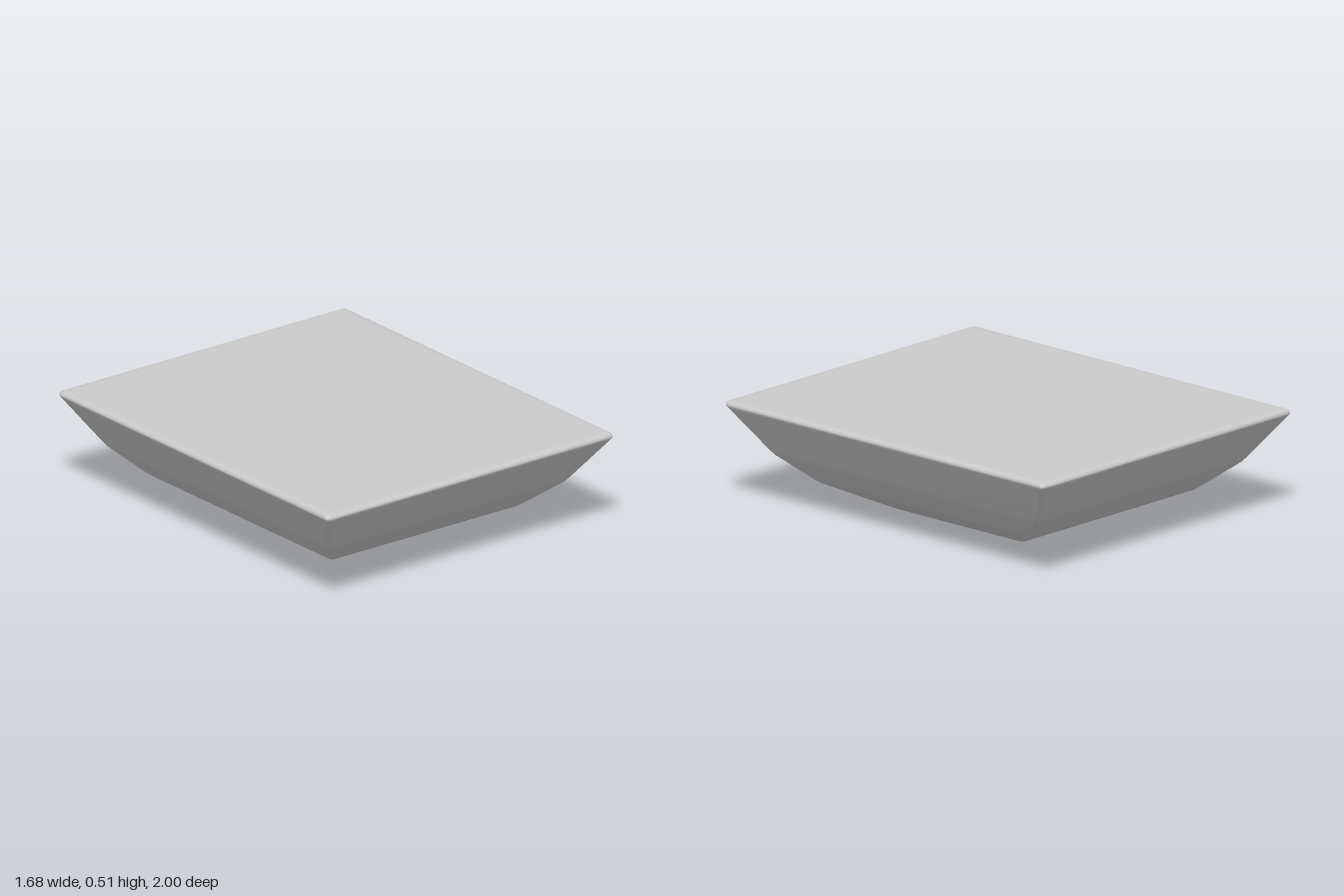
import * as THREE from 'three';

// Cross-sections from bottom to top: [half width, half depth, height, corner radius]
const SECTIONS = [
  [0.28, 0.34, 0, 0.01],
  [0.31, 0.375, 0, 0.018],
  [0.325, 0.395, 0.004, 0.02],
  [0.345, 0.415, 0.013, 0.02],
  [0.555, 0.67, 0.125, 0.022],
  [0.578, 0.69, 0.142, 0.022],
  [0.695, 0.83, 0.258, 0.022],
  [0.71, 0.848, 0.28, 0.022],
  [0.83, 0.99, 0.475, 0.022],
  [0.838, 0.998, 0.487, 0.022],
  [0.84, 1.0, 0.495, 0.022],
  [0.835, 0.995, 0.506, 0.02],
  [0.823, 0.983, 0.512, 0.018],
  [0.79, 0.95, 0.512, 0.01],
];
const CORNER_STEPS = 4;

// Rounded rectangle as a closed loop, running from +x towards +z
function addRing(positions, [w, d, y, r]) {
  const signs = [[1, 1], [-1, 1], [-1, -1], [1, -1]];
  signs.forEach(([sx, sz], corner) => {
    for (let i = 0; i <= CORNER_STEPS; i++) {
      const a = (corner + i / CORNER_STEPS) * Math.PI / 2;
      positions.push(sx * (w - r) + r * Math.cos(a), y, sz * (d - r) + r * Math.sin(a));
    }
  });
}

function taperedBlock(sections) {
  const n = 4 * (CORNER_STEPS + 1);
  const positions = [], index = [];
  sections.forEach((s) => addRing(positions, s));
  const last = (sections.length - 1) * n;
  const bottom = sections.length * n, top = bottom + 1;
  positions.push(0, sections[0][2], 0, 0, sections[sections.length - 1][2], 0);

  for (let j = 0; j < n; j++) {
    const k = (j + 1) % n;
    // Sloping sides
    for (let s = 0; s < last; s += n) {
      index.push(s + j, s + n + j, s + k, s + k, s + n + j, s + n + k);
    }
    // Flat base and flat top
    index.push(bottom, j, k, top, last + k, last + j);
  }

  const geometry = new THREE.BufferGeometry();
  geometry.setAttribute('position', new THREE.Float32BufferAttribute(positions, 3));
  geometry.setIndex(index);
  geometry.computeVertexNormals();
  return geometry;
}

export function createModel() {
  const group = new THREE.Group();
  group.name = 'taperedSlab';
  const material = new THREE.MeshStandardMaterial({ color: 0xcccccc });
  const body = new THREE.Mesh(taperedBlock(SECTIONS), material);
  body.name = 'body';
  group.add(body);
  return group;
}
